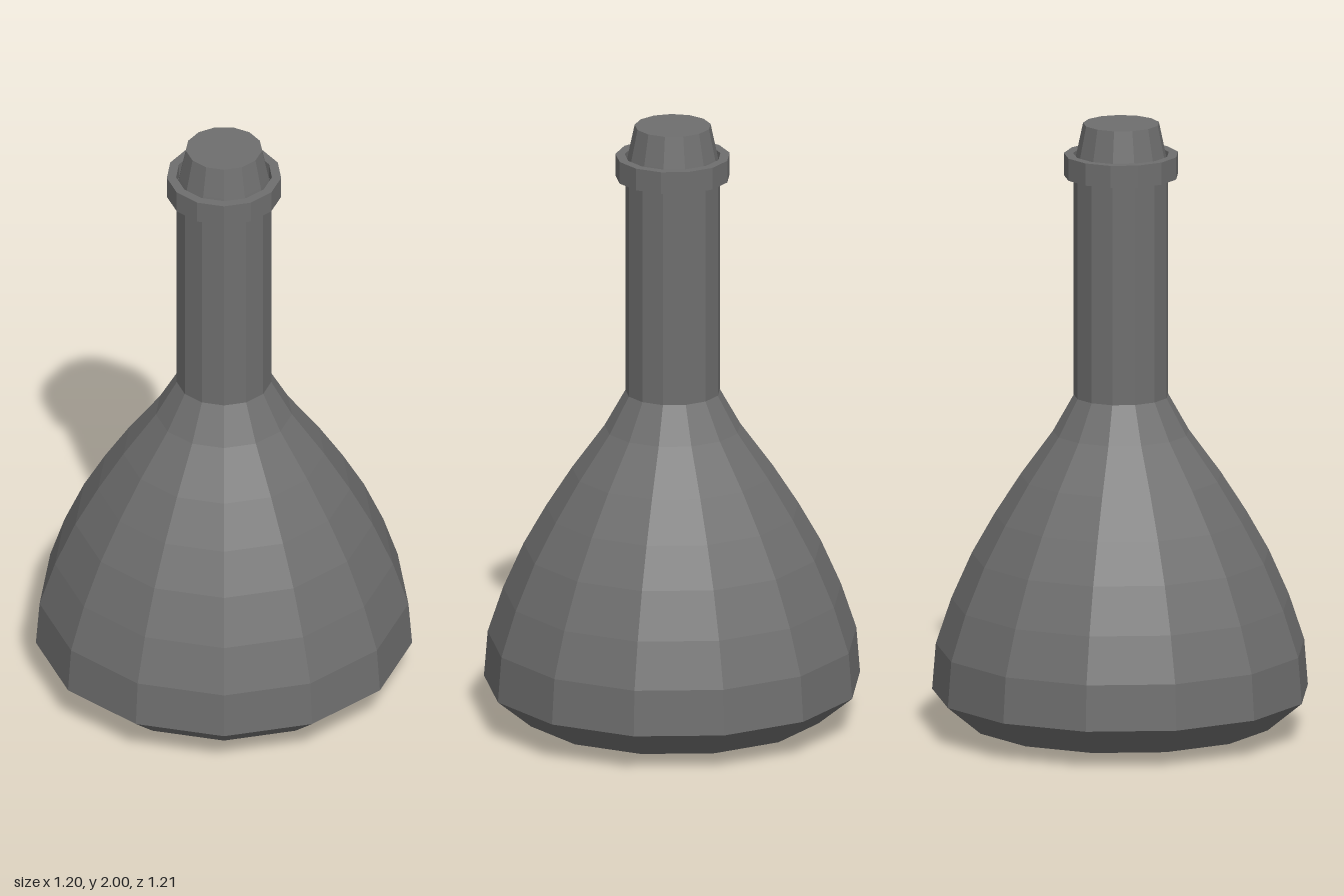
import * as THREE from 'three';

const SIDES = 13;

export function createModel() {
  const model = new THREE.Group();
  model.name = 'flask';
  const material = new THREE.MeshStandardMaterial({ color: 0x6e6e6e, flatShading: true });

  // Turns a [radius, height] profile, running bottom to top, with a corner on -x
  function turned(name, profile) {
    const points = profile.map(([r, y]) => new THREE.Vector2(r, y));
    const geometry = new THREE.LatheGeometry(points, SIDES, -Math.PI / 2);
    const mesh = new THREE.Mesh(geometry, material);
    mesh.name = name;
    // The odd side count shifts the bounds, so recentre them
    mesh.position.x = 0.009;
    model.add(mesh);
  }

  // Shallow rounded base and bell-shaped body
  turned('body', [
    [0, 0], [0.34, 0.015], [0.494, 0.035], [0.609, 0.13], [0.597, 0.28], [0.547, 0.43],
    [0.481, 0.58], [0.408, 0.71], [0.325, 0.84], [0.22, 0.985], [0.153, 1.105],
  ]);

  // Straight neck
  turned('neck', [[0.153, 1.105], [0.153, 1.84]]);

  // Lip collar with a shallow recess around the stopper
  turned('lip', [
    [0.15, 1.827], [0.185, 1.827], [0.185, 1.9], [0.155, 1.9], [0.155, 1.85], [0, 1.85],
  ]);

  // Tapered stopper
  turned('stopper', [[0.154, 1.85], [0.144, 1.9], [0.123, 2], [0, 2]]);

  return model;
}
